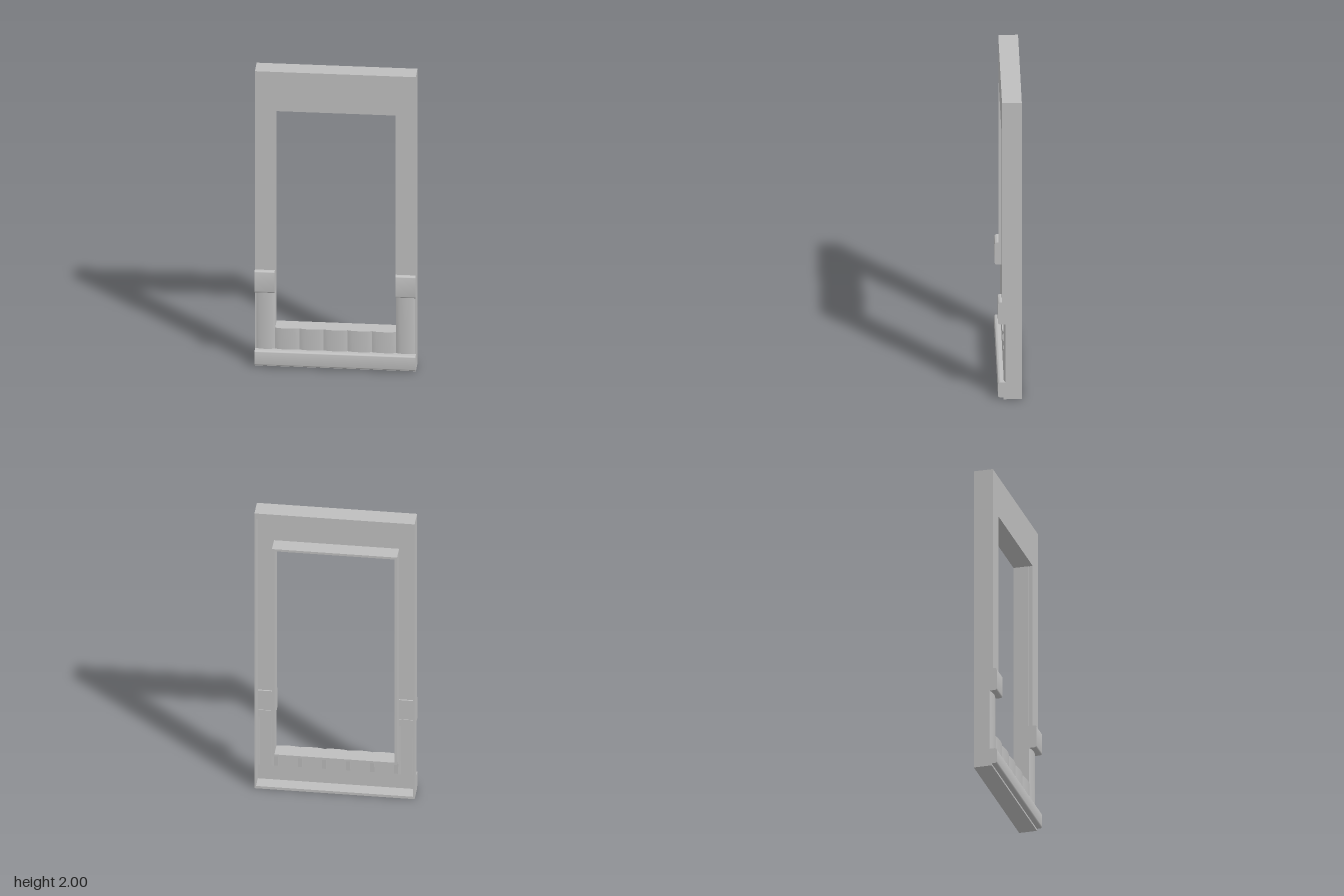
import * as THREE from 'three';
import { toCreasedNormals } from 'three/addons/utils/BufferGeometryUtils.js';

export function createModel() {
  const model = new THREE.Group();
  const grey = new THREE.MeshStandardMaterial({ color: 0xbebebe });
  grey.name = 'plain grey';

  const W = 0.493, IN = 0.37;        // outer and opening half widths
  const Y0 = 0.26, Y1 = 1.735;       // opening bottom and top
  const BACK = -0.073, FRONT = 0.048; // rear rim and front face
  const SHEET = 0.028;               // rear of the front sheet

  function add(name, geometry) {
    const mesh = new THREE.Mesh(geometry, grey);
    mesh.name = name;
    model.add(mesh);
    return mesh;
  }
  // Box given by its limits
  function block(name, x0, x1, y0, y1, z0, z1) {
    const g = new THREE.BoxGeometry(x1 - x0, y1 - y0, z1 - z0);
    g.translate((x0 + x1) / 2, (y0 + y1) / 2, (z0 + z1) / 2);
    return add(name, g);
  }
  // Side profile (z, y) swept along x
  function sweepX(name, shape, x0, x1) {
    const g = new THREE.ExtrudeGeometry(shape, { depth: x1 - x0, bevelEnabled: false, curveSegments: 8 });
    g.rotateY(-Math.PI / 2);
    g.translate(x1, 0, 0);
    return add(name, toCreasedNormals(g, 0.6));
  }
  // Plan profile of [x, z] points swept upwards
  function sweepY(name, points, y0, y1) {
    const shape = new THREE.Shape(points.map(([x, z]) => new THREE.Vector2(x, -z)));
    const g = new THREE.ExtrudeGeometry(shape, { depth: y1 - y0, bevelEnabled: false });
    g.rotateX(-Math.PI / 2);
    g.translate(0, y0, 0);
    return add(name, toCreasedNormals(g, 0.5));
  }
  // Rounded band profile
  function bandShape(y0, y1, z0, z1, r) {
    const s = new THREE.Shape();
    s.moveTo(z0, y0);
    s.lineTo(z1 - r, y0);
    s.quadraticCurveTo(z1, y0, z1, y0 + r);
    s.lineTo(z1, y1 - r);
    s.quadraticCurveTo(z1, y1, z1 - r, y1);
    s.lineTo(z0, y1);
    s.closePath();
    return s;
  }
  // Convex swells between successive x edges, closed along the rear
  function swellProfile(edges, low, high, rear) {
    const pts = [];
    const n = 10;
    for (let i = 0; i < edges.length - 1; i++) {
      for (let k = i ? 1 : 0; k <= n; k++) {
        const t = k / n;
        pts.push([
          edges[i] + (edges[i + 1] - edges[i]) * t,
          low + (high - low) * Math.pow(Math.sin(Math.PI * t), 0.6),
        ]);
      }
    }
    pts.push([edges[edges.length - 1], rear], [edges[0], rear]);
    return pts;
  }

  // Front sheet: header and stiles around the opening
  block('header', -W, W, Y1, 2, SHEET, FRONT);
  for (const s of [-1, 1]) {
    const a = s < 0 ? -W : IN, b = s < 0 ? -IN : W;
    block('stile', a, b, 0.6, Y1, SHEET, FRONT);
  }

  // Outer walls
  block('topWall', -W, W, 1.96, 2, BACK, SHEET);
  block('bottomWall', -W, W, 0.005, 0.022, BACK, 0.04);
  for (const s of [-1, 1]) {
    const a = s < 0 ? -W : W - 0.01;
    block('sideWall', a, a + 0.01, 0.022, 1.96, BACK, SHEET);
  }

  // Collar around the opening
  const T = 0.015;
  block('collarTop', -IN - T, IN + T, Y1, Y1 + T, BACK, SHEET);
  block('collarBottom', -IN - T, IN + T, Y0 - T, Y0, BACK, 0.02);
  for (const s of [-1, 1]) {
    const a = s < 0 ? -IN - T : IN;
    block('collarSide', a, a + T, Y0, Y1, BACK, 0.022);
  }

  // Raised bands: full width at the base, one on each stile
  sweepX('baseBand', bandShape(0.018, 0.118, 0.015, 0.073, 0.016), -W, W);
  sweepX('rightStileBand', bandShape(0.51, 0.658, 0.018, 0.073, 0.016), -W, -IN);
  sweepX('leftStileBand', bandShape(0.51, 0.658, 0.018, 0.073, 0.016), IN, W);

  // Recessed grip panel with shallow vertical swells
  const grooves = [-IN, -0.222, -0.074, 0.074, 0.222, IN];
  sweepY('gripPanel', swellProfile(grooves, 0.027, 0.037, 0.014), 0.11, Y0);
  sweepY('rightGrip', swellProfile([-W, -IN], 0.024, 0.038, 0.014), 0.11, 0.52);
  sweepY('leftGrip', swellProfile([IN, W], 0.024, 0.038, 0.014), 0.11, 0.52);

  // Tapered ribs behind each groove
  const rib = new THREE.Shape();
  rib.moveTo(0.016, 0.125);
  rib.lineTo(0.006, 0.13);
  rib.lineTo(-0.002, 0.247);
  rib.lineTo(0.016, 0.247);
  for (const x of grooves) sweepX('rearRib', rib, x - 0.013, x + 0.013);

  // Slim tapered ribs beside the collar
  const longRib = new THREE.Shape();
  longRib.moveTo(0.02, 0.12);
  longRib.lineTo(0.0, 0.13);
  longRib.lineTo(0.016, 0.52);
  longRib.lineTo(0.02, 0.52);
  for (const s of [-1, 1]) {
    sweepX('sideRib', longRib, s * 0.39 - 0.008, s * 0.39 + 0.008);
    sweepX('edgeRib', longRib, s * 0.478 - 0.007, s * 0.478 + 0.007);
  }

  return model;
}
